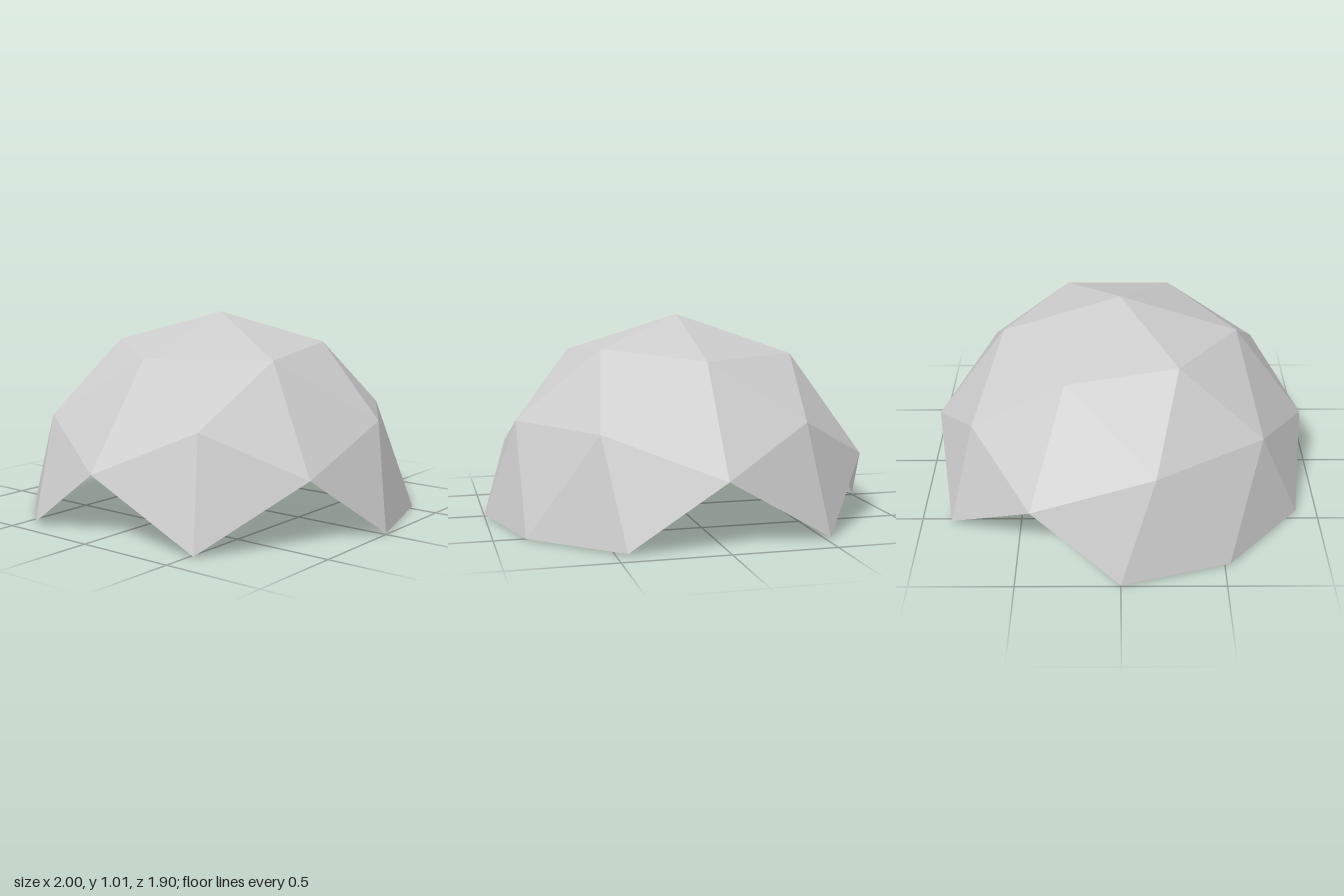
import * as THREE from 'three';

export function createModel() {
  const model = new THREE.Group();
  const shellGrey = new THREE.MeshStandardMaterial({ color: 0xcccccc, side: THREE.DoubleSide });
  const darkFrame = new THREE.MeshStandardMaterial({ color: 0x24161a });
  const darkRed = new THREE.MeshStandardMaterial({ color: 0x4a2529 });
  shellGrey.name = 'shell grey';
  darkFrame.name = 'dark frame';
  darkRed.name = 'dark red';

  // Geodesic dome: keep only the whole triangles above the ground plane,
  // which leaves the triangular openings around the rim.
  const sphere = new THREE.IcosahedronGeometry(1, 1);
  sphere.rotateY(Math.atan(2 / (1 + Math.sqrt(5))));
  const source = sphere.getAttribute('position');
  const kept = [];
  for (let i = 0; i < source.count; i += 3) {
    const corners = [0, 1, 2].map((k) => new THREE.Vector3().fromBufferAttribute(source, i + k));
    if (corners.every((c) => c.y > -0.001)) corners.forEach((c) => kept.push(c.x, c.y, c.z));
  }
  const domeGeometry = new THREE.BufferGeometry();
  domeGeometry.setAttribute('position', new THREE.Float32BufferAttribute(kept, 3));
  domeGeometry.computeVertexNormals();
  const dome = new THREE.Mesh(domeGeometry, shellGrey);
  dome.name = 'dome';
  dome.position.y = 0.006;
  model.add(dome);

  // Small padded couch on a pedestal in the middle of the floor
  const couch = new THREE.Group();
  couch.name = 'couch';
  const addBox = (name, material, [w, h, d], y, z) => {
    const mesh = new THREE.Mesh(new THREE.BoxGeometry(w, h, d), material);
    mesh.name = name;
    mesh.position.set(0, y, z);
    couch.add(mesh);
  };
  addBox('basePlate', darkFrame, [0.053, 0.006, 0.04], 0.003, -0.11);
  addBox('pedestal', darkFrame, [0.01, 0.024, 0.02], 0.018, -0.11);
  addBox('couchFrame', darkFrame, [0.053, 0.008, 0.15], 0.034, -0.08);
  addBox('couchPad', darkRed, [0.05, 0.02, 0.15], 0.048, -0.08);
  model.add(couch);

  return model;
}
